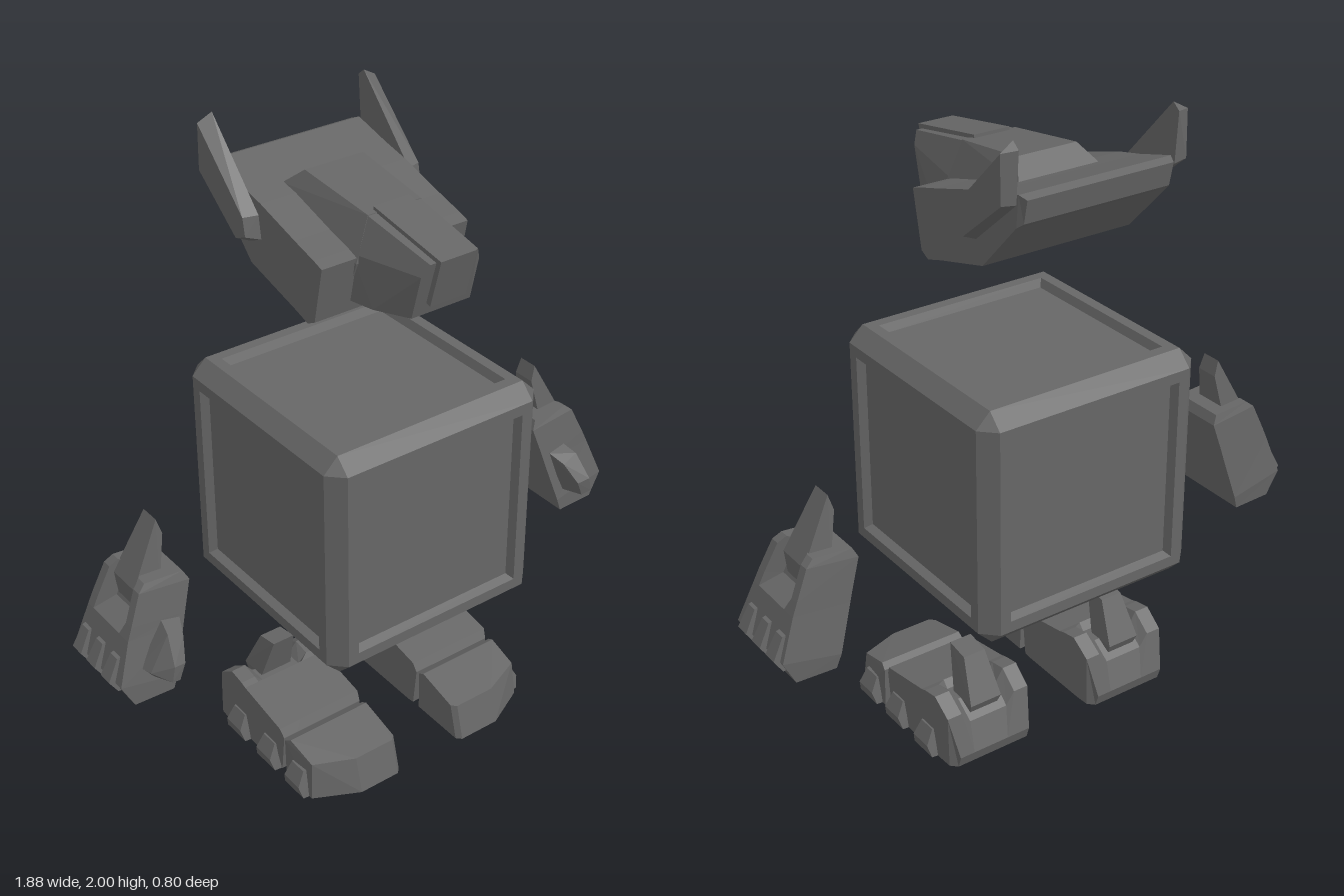
import * as THREE from 'three';
import { ConvexGeometry } from 'three/addons/geometries/ConvexGeometry.js';

const V = (x, y, z) => new THREE.Vector3(x, y, z);
const material = new THREE.MeshStandardMaterial({ color: 0x666666, flatShading: true });

function add(parent, name, geometry) {
  const mesh = new THREE.Mesh(geometry, material);
  mesh.name = name;
  parent.add(mesh);
}

// Faceted solid spanned by corner points
const hull = (pts) => new ConvexGeometry(pts.map((p) => V(...p)));

// Flat faces from a list of polygons
function polygons(polys) {
  const pos = [];
  for (const p of polys)
    for (let i = 1; i < p.length - 1; i++)
      for (const v of [p[0], p[i], p[i + 1]]) pos.push(v.x, v.y, v.z);
  const g = new THREE.BufferGeometry();
  g.setAttribute('position', new THREE.Float32BufferAttribute(pos, 3));
  g.computeVertexNormals();
  return g;
}

// Closed solid through equal rings, turned so that its volume is positive
function loft(rings) {
  const polys = [];
  const n = rings[0].length;
  for (let r = 0; r < rings.length - 1; r++)
    for (let i = 0; i < n; i++) {
      const j = (i + 1) % n;
      polys.push([rings[r][i], rings[r][j], rings[r + 1][j], rings[r + 1][i]]);
    }
  const cap = (ring, flip) => {
    const c = ring.reduce((s, p) => s.add(p), V(0, 0, 0)).divideScalar(n);
    ring.forEach((p, i) => {
      const q = ring[(i + 1) % n];
      polys.push(flip ? [c, q, p] : [c, p, q]);
    });
  };
  cap(rings[0], true);
  cap(rings[rings.length - 1], false);
  let volume = 0;
  for (const p of polys)
    for (let i = 1; i < p.length - 1; i++) volume += p[0].dot(p[i].clone().cross(p[i + 1]));
  if (volume < 0) polys.forEach((p) => p.reverse());
  return polygons(polys);
}

// Loft of box-like sections [u0, v0, u1, v1, w0, w1, depth]:
// base edge at (u0, v0), far edge at (u1, v1) with a groove of the given depth
function grooved(sections, e1, e2, map) {
  return loft(sections.map(([u0, v0, u1, v1, w0, w1, d]) => {
    const len = Math.hypot(u0 - u1, v0 - v1);
    const ud = u1 + ((u0 - u1) / len) * d;
    const vd = v1 + ((v0 - v1) / len) * d;
    return [
      map(u0, v0, w0), map(u0, v0, w1), map(u1, v1, w1), map(u1, v1, w1 - e1),
      map(ud, vd, w1 - e2), map(ud, vd, w0 + e2), map(u1, v1, w0 + e1), map(u1, v1, w0),
    ];
  }));
}

// Bevelled cube with a sunken panel in each side
function bodyGeometry() {
  const h = 0.377, f = 0.33, polys = [];
  const put = (a, x, y, z) => { // cyclic axes: z becomes axis a
    const v = V(0, 0, 0);
    v.setComponent(a, z);
    v.setComponent((a + 1) % 3, x);
    v.setComponent((a + 2) % 3, y);
    return v;
  };
  const outward = (p) => {
    const n = p[1].clone().sub(p[0]).cross(p[2].clone().sub(p[0]));
    polys.push(n.dot(p[0]) < 0 ? p.reverse() : p);
  };
  for (let a = 0; a < 3; a++)
    for (const s of [-1, 1]) {
      const rings = [[f, h], [0.295, h], [0.283, 0.352]].map(([r, z]) =>
        [[-1, -1], [1, -1], [1, 1], [-1, 1]].map(([x, y]) => put(a, s * x * r, y * r, s * z)));
      for (let k = 0; k < 2; k++)
        for (let i = 0; i < 4; i++) {
          const j = (i + 1) % 4;
          polys.push([rings[k][i], rings[k][j], rings[k + 1][j], rings[k + 1][i]]);
        }
      polys.push(rings[2]);
      for (const t of [-1, 1]) // edge bevels
        outward([put(a, s * h, t * f, f), put(a, s * f, t * h, f), put(a, s * f, t * h, -f), put(a, s * h, t * f, -f)]);
    }
  for (const x of [-1, 1]) for (const y of [-1, 1]) for (const z of [-1, 1])
    outward([V(x * h, y * f, z * f), V(x * f, y * h, z * f), V(x * f, y * f, z * h)]);
  return polygons(polys).translate(0, 0.873, -0.022);
}

// Points mirrored about x = 0
const both = (pts) => pts.flatMap(([x, y, z]) => [[x, y, z], [-x, y, z]]);

function buildHead() {
  const head = new THREE.Group();
  head.name = 'head';
  const w = 0.25;
  // skull with a recess underneath
  add(head, 'skull', grooved([
    [0.135, 1.715, 0.098, 1.54, -w, w, 0],
    [0.1, 1.727, 0.065, 1.523, -w, w, 0],
    [0.06, 1.738, 0.025, 1.536, -w, w, 0],
    [0.01, 1.752, -0.005, 1.545, -w, w, 0.06],
    [-0.15, 1.8, -0.14, 1.582, -w, w, 0.06],
    [-0.24, 1.82, -0.205, 1.6, -w, w, 0],
    [-0.37, 1.855, -0.36, 1.76, -w, w, 0],
    [-0.395, 1.845, -0.38, 1.775, -0.24, 0.24, 0],
  ], 0.1, 0.13, (z, y, x) => V(x, y, z)));
  add(head, 'browRidge', hull(both([
    [0.1, 1.86, -0.15], [0.09, 1.825, 0.125], [0.135, 1.81, -0.21], [0.14, 1.7, 0.14], [0.135, 1.6, 0.1],
  ])));
  add(head, 'muzzle', hull(both([
    [0.09, 1.825, 0.11], [0.135, 1.72, 0.11], [0.135, 1.573, 0.1],
    [0.08, 1.778, 0.38], [0.098, 1.74, 0.365], [0.1, 1.605, 0.33], [0.13, 1.585, 0.2],
  ])));
  add(head, 'noseStrip', hull(both([
    [0.06, 1.837, 0.11], [0.06, 1.788, 0.4], [0.06, 1.64, 0.358], [0.06, 1.7, 0.1],
  ])));
  for (const s of [1, -1]) {
    const inner = [[-0.36, 2], [-0.385, 1.98], [-0.375, 1.83], [-0.19, 1.675], [-0.135, 1.7], [-0.145, 1.77]];
    const outer = [[-0.367, 1.975], [-0.37, 1.835], [-0.195, 1.695], [-0.147, 1.715], [-0.157, 1.77]];
    add(head, s > 0 ? 'leftEar' : 'rightEar', hull([
      ...inner.map(([z, y]) => [s * 0.26, y, z]), ...outer.map(([z, y]) => [s * 0.305, y, z]),
    ]));
  }
  return head;
}

function buildHand(s) {
  const hand = new THREE.Group();
  hand.name = s > 0 ? 'leftHand' : 'rightHand';
  const m = (pts) => hull(pts.map(([x, y, z]) => [s * x, y, z]));
  add(hand, 'palm', grooved([
    [0.75, 0.485, 0.88, 0.49, -0.19, 0.07, 0],
    [0.735, 0.53, 0.92, 0.57, -0.195, 0.07, 0],
    [0.69, 0.68, 0.872, 0.7, -0.18, 0.045, 0],
    [0.68, 0.715, 0.855, 0.74, -0.177, 0.04, 0.05],
    [0.65, 0.81, 0.815, 0.83, -0.168, 0.025, 0.05],
    [0.665, 0.84, 0.79, 0.85, -0.16, 0.015, 0.05],
  ], 0.03, 0.05, (x, y, z) => V(s * x, y, z)));
  add(hand, 'wristSpike', m([
    [0.705, 1, -0.045], [0.705, 1, -0.11], [0.69, 0.95, -0.04], [0.69, 0.95, -0.115],
    [0.805, 0.81, -0.02], [0.805, 0.81, -0.135], [0.72, 0.8, -0.02], [0.72, 0.8, -0.135],
    [0.8, 0.73, -0.03], [0.8, 0.73, -0.12],
  ]));
  add(hand, 'thumb', m([
    [0.705, 0.715, 0.05], [0.765, 0.73, 0.05], [0.845, 0.6, 0.05], [0.81, 0.555, 0.06], [0.76, 0.56, 0.06],
    [0.725, 0.69, 0.1], [0.775, 0.715, 0.1], [0.838, 0.605, 0.1],
    [0.75, 0.63, 0.145], [0.79, 0.64, 0.155], [0.8, 0.59, 0.155], [0.77, 0.578, 0.145],
  ]));
  for (const z of [0.01, -0.072, -0.152]) // knuckles
    add(hand, 'knuckle', m([-1, 1].flatMap((t) => [
      [0.87, 0.65, z + t * 0.02], [0.903, 0.642, z + t * 0.018], [0.938, 0.575, z + t * 0.024],
      [0.915, 0.54, z + t * 0.032], [0.87, 0.54, z + t * 0.034],
    ])));
  return hand;
}

function buildFoot(s) {
  const foot = new THREE.Group();
  foot.name = s > 0 ? 'leftFoot' : 'rightFoot';
  const m = (pts) => hull(pts.map(([x, y, z]) => [s * x, y, z]));
  add(foot, 'heel', grooved([
    [0.1, 0, 0.115, 0.135, 0.115, 0.405, 0],
    [0.08, 0, 0.1, 0.165, 0.112, 0.41, 0],
    [-0.09, 0, -0.09, 0.2, 0.112, 0.41, 0],
    [-0.11, 0, -0.11, 0.207, 0.112, 0.41, 0.03],
    [-0.19, 0, -0.165, 0.217, 0.112, 0.41, 0.04],
    [-0.235, 0, -0.23, 0.17, 0.115, 0.408, 0.04],
    [-0.255, 0, -0.268, 0.04, 0.135, 0.388, 0],
  ], 0.05, 0.08, (z, y, x) => V(s * x, y, z)));
  add(foot, 'toe', m([
    [0.115, 0, 0.13], [0.41, 0, 0.13], [0.115, 0.138, 0.127], [0.41, 0.138, 0.127],
    [0.115, 0.152, 0.15], [0.405, 0.152, 0.15], [0.13, 0.117, 0.305], [0.27, 0.117, 0.305],
    [0.4, 0.125, 0.255], [0.115, 0.117, 0.29], [0.115, 0, 0.32], [0.13, 0, 0.335],
    [0.27, 0, 0.335], [0.41, 0, 0.265],
  ]));
  add(foot, 'ankleSpike', m([
    [0.225, 0.325, -0.085], [0.3, 0.325, -0.085], [0.225, 0.312, -0.16], [0.3, 0.312, -0.16],
    [0.21, 0.18, -0.13], [0.32, 0.18, -0.13], [0.21, 0.175, -0.225], [0.32, 0.175, -0.225],
    [0.22, 0.12, -0.2], [0.31, 0.12, -0.2],
  ]));
  for (const z of [0.2, 0.045, -0.122]) // side claws
    add(foot, 'sideClaw', m([-1, 1].flatMap((t) => [
      [0.38, 0, z + t * 0.055], [0.43, 0, z + t * 0.05], [0.44, 0.04, z + t * 0.038],
      [0.415, 0.088, z + t * 0.03], [0.38, 0.095, z + t * 0.035],
    ])));
  return foot;
}

export function createModel() {
  const model = new THREE.Group();
  model.name = 'blockRobot';
  add(model, 'body', bodyGeometry());
  model.add(buildHead());
  for (const s of [1, -1]) model.add(buildHand(s), buildFoot(s));
  return model;
}
